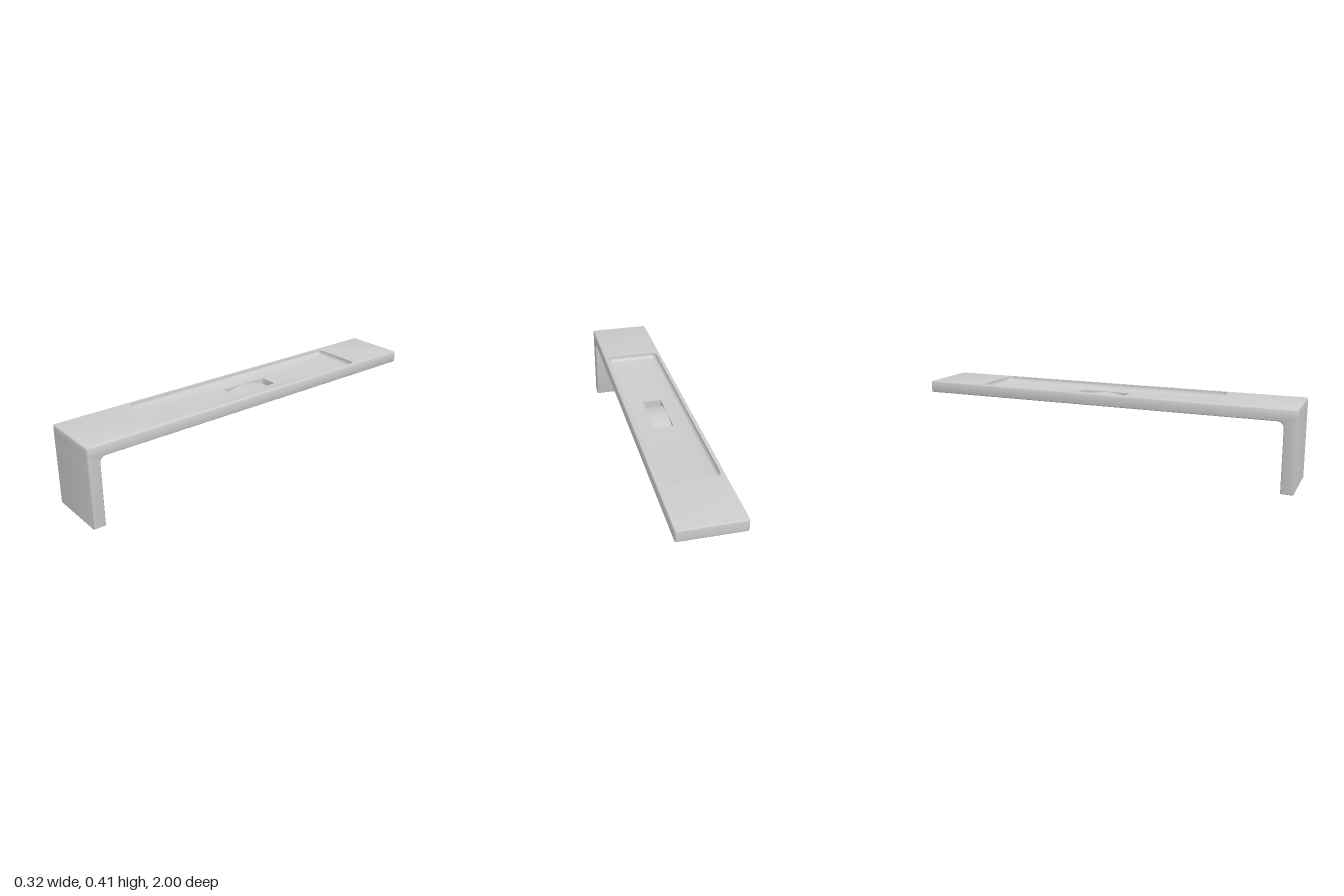
import * as THREE from 'three';
import { toCreasedNormals } from 'three/addons/utils/BufferGeometryUtils.js';

const HX = 0.162, TOP = 0.412, UNDER = 0.35, EDGE = 0.008;
const FLOOR = 0.385, POCKET = 0.354, POCKET_Z = -0.035;

// Rounded rectangle in plan, at height y
function ring(hx, hz, r, y, cz = 0, steps = 6) {
  const pts = [];
  const signs = [[1, 1], [-1, 1], [-1, -1], [1, -1]];
  signs.forEach(([sx, sz], c) => {
    for (let i = 0; i <= steps; i++) {
      const a = (c + i / steps) * Math.PI / 2;
      pts.push([sx * (hx - r) + r * Math.cos(a), y, cz + sz * (hz - r) + r * Math.sin(a)]);
    }
  });
  return pts;
}

// Skin between successive rings
function loft(rings) {
  const n = rings[0].length, index = [];
  for (let k = 0; k < rings.length - 1; k++) {
    for (let j = 0; j < n; j++) {
      const a = k * n + j, b = k * n + (j + 1) % n;
      index.push(a, a + n, b, b, a + n, b + n);
    }
  }
  const geo = new THREE.BufferGeometry();
  geo.setAttribute('position', new THREE.Float32BufferAttribute(rings.flat(2), 3));
  geo.setIndex(index);
  return toCreasedNormals(geo, 0.6);
}

// Side profile in (z, y), extruded across x and centred
function extrudeAcross(shape, width, bevel) {
  const depth = width - 2 * bevel;
  const geo = new THREE.ExtrudeGeometry(shape, {
    depth, curveSegments: 16, bevelEnabled: bevel > 0, bevelSize: bevel,
    bevelThickness: bevel, bevelOffset: -bevel, bevelSegments: 4,
  });
  geo.translate(0, 0, -depth / 2);
  geo.rotateY(-Math.PI / 2);
  return toCreasedNormals(geo, 0.6);
}

export function createModel() {
  const group = new THREE.Group();
  const material = new THREE.MeshStandardMaterial({ color: 0xcccccc });
  const add = (name, geo) => {
    const mesh = new THREE.Mesh(geo, material);
    mesh.name = name;
    group.add(mesh);
  };

  // Long slab: underside, rounded outer edges, recessed tray and slot in one skin
  const rings = [ring(0, 0, 0, UNDER)];
  const quarter = [0, 0.25, 0.5, 0.75, 1].map((t) => t * Math.PI / 2);
  const outer = (inset, y) => rings.push(ring(HX - inset, 1 - inset, EDGE + 0.002 - inset, y));
  quarter.forEach((a) => outer(EDGE * (1 - Math.sin(a)), UNDER + EDGE * (1 - Math.cos(a))));
  quarter.forEach((a) => outer(EDGE * (1 - Math.cos(a)), TOP - EDGE * (1 - Math.sin(a))));
  const tray = (inset, y) => rings.push(ring(0.141 - inset, 0.64 - inset, 0.03 - inset, y, POCKET_Z));
  const cove = 0.02;
  tray(0, TOP);
  quarter.forEach((a) => tray(cove * (1 - Math.cos(a)), FLOOR + cove * (1 - Math.sin(a))));
  rings.push(ring(0.048, 0.132, 0.001, FLOOR, POCKET_Z));
  rings.push(ring(0.048, 0.132, 0.001, POCKET, POCKET_Z));
  rings.push(ring(0, 0, 0, POCKET, POCKET_Z));
  add('slab', loft(rings));

  // Arched insert in the slot
  const half = 0.132, sag = FLOOR - POCKET - 0.002;
  const radius = (half * half + sag * sag) / (2 * sag);
  const span = Math.asin(half / radius);
  const arch = new THREE.Shape();
  arch.absarc(POCKET_Z, POCKET + sag - radius, radius, Math.PI / 2 - span, Math.PI / 2 + span);
  arch.closePath();
  add('archedInsert', extrudeAcross(arch, 0.096, 0));

  // Front leg with a filleted inner corner
  const leg = new THREE.Shape();
  leg.moveTo(1, 0.39);
  leg.lineTo(0.9, 0.39);
  leg.lineTo(0.9, UNDER);
  leg.absarc(0.907, UNDER - 0.03, 0.03, Math.PI / 2, 0, true);
  leg.lineTo(0.937, 0.004);
  leg.quadraticCurveTo(0.937, 0, 0.941, 0);
  leg.lineTo(0.996, 0);
  leg.quadraticCurveTo(1, 0, 1, 0.004);
  leg.closePath();
  add('frontLeg', extrudeAcross(leg, 2 * HX, EDGE));

  return group;
}
